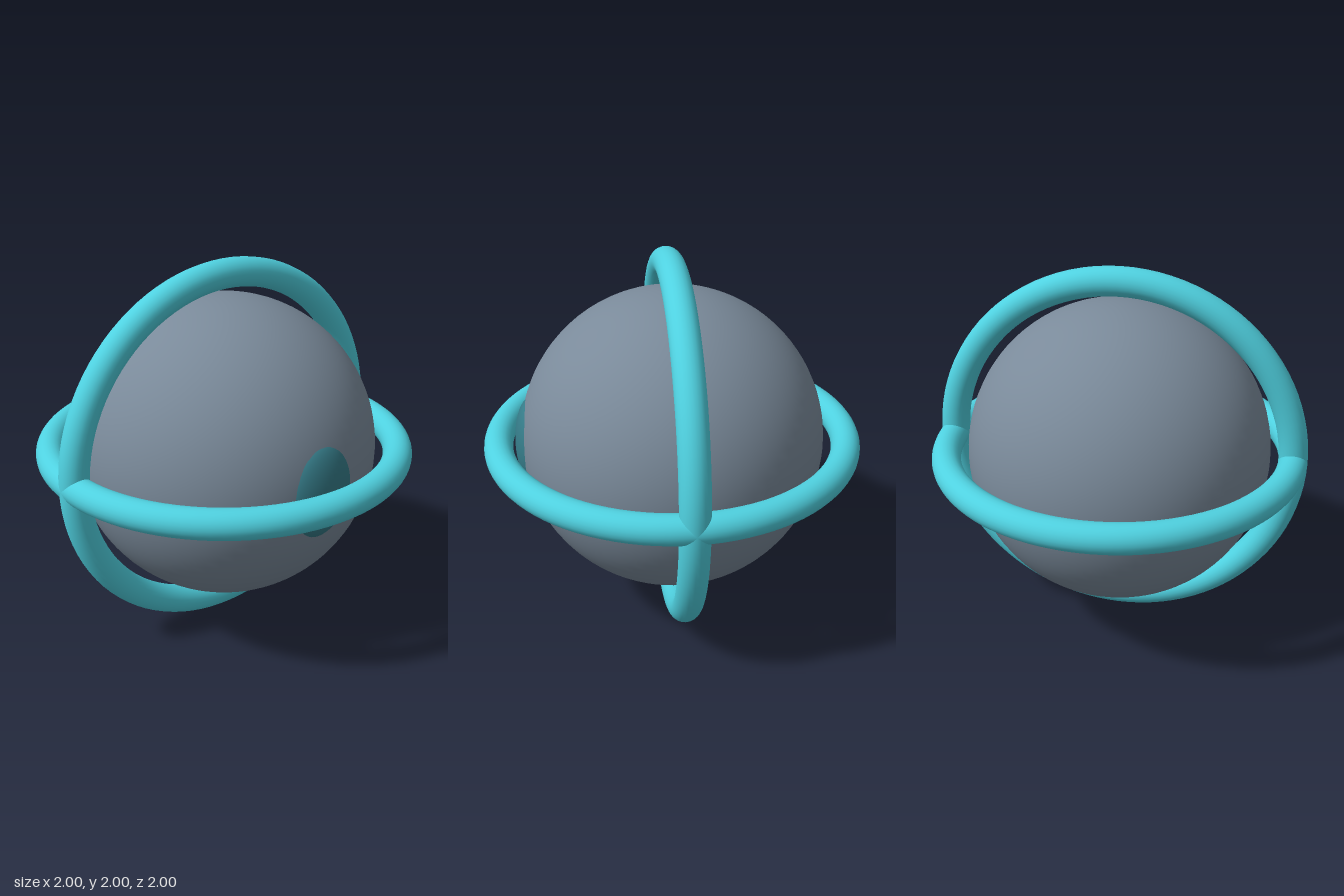
import * as THREE from 'three';

const CENTER_Y = 1;

function addPart(group, name, geometry, color) {
  const mesh = new THREE.Mesh(geometry, new THREE.MeshStandardMaterial({ color }));
  mesh.name = name;
  mesh.position.y = CENTER_Y;
  group.add(mesh);
  return mesh;
}

export function createModel() {
  const group = new THREE.Group();
  group.name = 'ringedSphere';

  // Main body
  addPart(group, 'body', new THREE.SphereGeometry(0.805, 64, 48), 0x7a8a9a);

  // Oval eye, half sunk into the front of the body
  const eye = addPart(group, 'eye', new THREE.SphereGeometry(1, 40, 28), 0x357b88);
  eye.scale.set(0.205, 0.252, 0.1);
  eye.position.z = 0.735;

  // Two equal rings crossing at the left and right sides
  const ring = new THREE.TorusGeometry(0.923, 0.076, 24, 96);
  addPart(group, 'verticalRing', ring, 0x4fd1e0);
  addPart(group, 'horizontalRing', ring, 0x4fd1e0).rotation.x = Math.PI / 2;

  return group;
}
